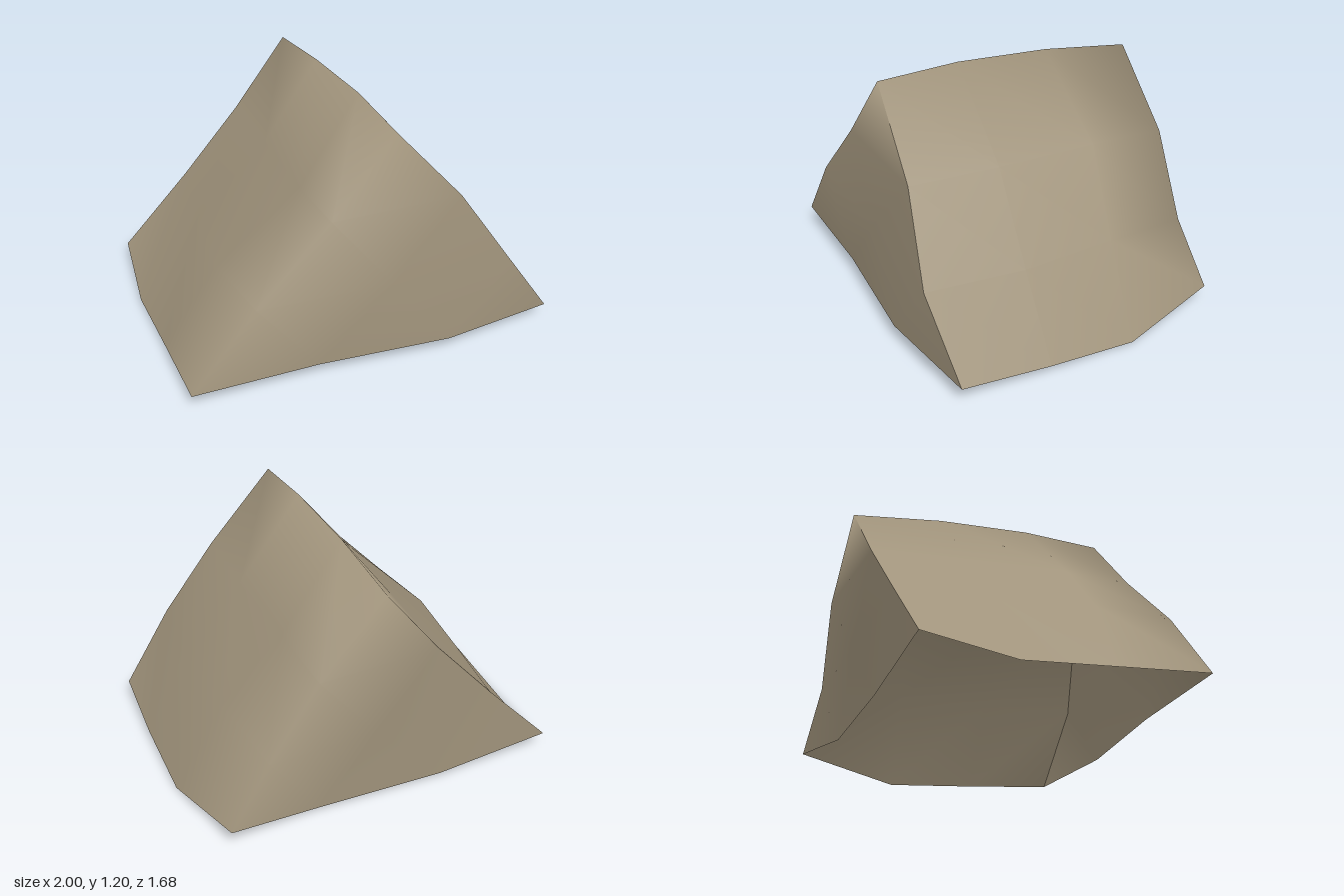
import * as THREE from 'three';

// Corners: front and back peaks, then the four base corners
const frontPeak = [0.18, 1.19, 0.635], backPeak = [-0.09, 1.1, -0.68];
const frontRight = [-0.78, 0.08, 0.84], frontLeft = [1, 0.08, 0.52];
const backRight = [-1, 0.08, -0.44], backLeft = [0.64, 0.08, -0.84];

// Columns running from the ridge to the base, front to back
const ridge1 = [0.1, 1.2, 0.24], ridge2 = [0, 1.165, -0.23];
const slopeA = [ // -x slope
  [frontPeak, [-0.12, 0.83, 0.71], [-0.47, 0.47, 0.79], frontRight],
  [ridge1, [-0.2, 0.82, 0.38], [-0.6, 0.45, 0.39], [-0.87, 0.04, 0.4]],
  [ridge2, [-0.28, 0.79, -0.13], [-0.64, 0.43, -0.07], [-0.96, 0, -0.03]],
  [backPeak, [-0.36, 0.76, -0.6], [-0.66, 0.43, -0.52], backRight],
];
const slopeB = [ // +x slope
  [frontPeak, [0.5, 0.82, 0.595], [0.76, 0.44, 0.61], frontLeft],
  [ridge1, [0.42, 0.8, 0.15], [0.72, 0.43, 0.13], [0.93, 0.04, 0.08]],
  [ridge2, [0.31, 0.78, -0.36], [0.6, 0.42, -0.34], [0.84, 0, -0.36]],
  [backPeak, [0.22, 0.75, -0.755], [0.45, 0.37, -0.77], backLeft],
];
const frontBase = [[-0.18, 0.08, 0.74], [0.46, 0.08, 0.68]];
const backBase = [[0.2, 0.02, -0.68], [-0.42, 0.02, -0.56]];

const transpose = (cols) => cols[0].map((_, i) => cols.map((c) => c[i]));

// Joins rows of points (top to bottom, left to right from outside).
// Points shared by reference are smoothed; copied points give a sharp edge.
function surface(patches) {
  const ids = new Map(), positions = [], index = [];
  const id = (p) => {
    if (!ids.has(p)) {
      ids.set(p, ids.size);
      positions.push(...p);
    }
    return ids.get(p);
  };
  for (const rows of patches) {
    for (let i = 0; i + 1 < rows.length; i++) {
      const r = rows[i], s = rows[i + 1];
      for (let j = 0; j + 1 < s.length; j++) {
        index.push(id(r[j]), id(s[j]), id(s[j + 1]));
        if (r[j + 1]) index.push(id(r[j]), id(s[j + 1]), id(r[j + 1]));
      }
    }
  }
  const geometry = new THREE.BufferGeometry();
  geometry.setAttribute('position', new THREE.Float32BufferAttribute(positions, 3));
  geometry.setIndex(index);
  geometry.computeVertexNormals();
  return geometry;
}

// Triangular end: soft along its left edge, sharp along its right edge
function endPatch(left, right, base, middle) {
  const sharp = right.map((p) => [...p]);
  return [
    [left[0]],
    [left[1], sharp[1]],
    [left[2], middle, sharp[2]],
    [left[3], ...base, sharp[3]],
  ];
}

export function createModel() {
  const group = new THREE.Group();
  group.name = 'wedgeShell';
  const stone = new THREE.MeshStandardMaterial({ color: 0xa1947c, side: THREE.DoubleSide });
  stone.name = 'warm stone';

  // Two slopes and two triangular ends, hollow and open underneath
  const shell = new THREE.Mesh(surface([
    transpose([...slopeA].reverse()),
    transpose(slopeB),
    endPatch(slopeA[0], slopeB[0], frontBase, [0.17, 0.455, 0.695]),
    endPatch(slopeB[3], slopeA[3], backBase, [-0.07, 0.38, -0.645]),
  ]), stone);
  shell.name = 'openShell';
  group.add(shell);
  return group;
}
